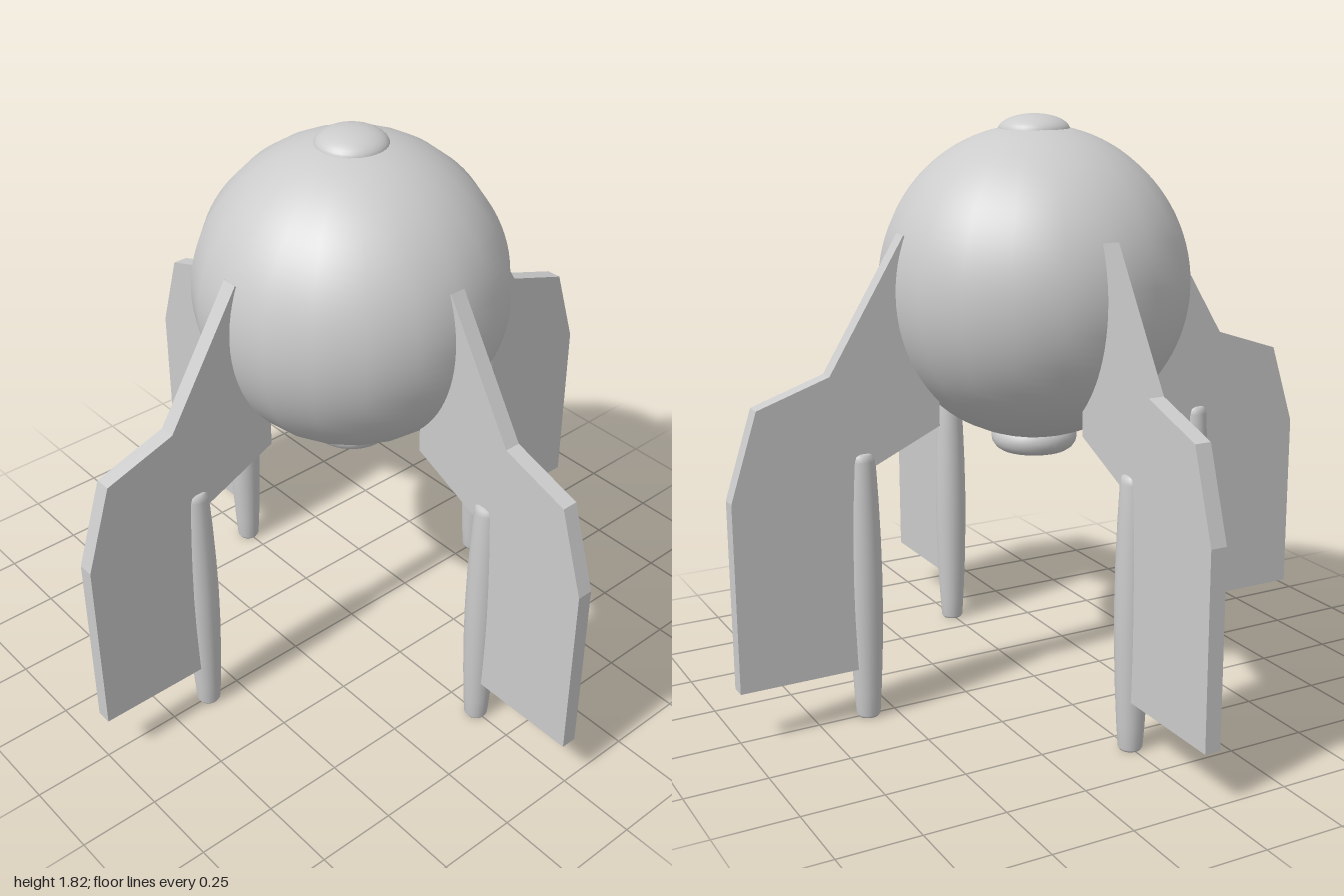
import * as THREE from 'three';

const material = new THREE.MeshStandardMaterial({ color: 0xcccccc });
const points = (list) => list.map(([x, y]) => new THREE.Vector2(x, y));

function add(parent, name, geometry, x = 0, y = 0, z = 0) {
  const mesh = new THREE.Mesh(geometry, material);
  mesh.name = name;
  mesh.position.set(x, y, z);
  parent.add(mesh);
  return mesh;
}

export function createModel() {
  const group = new THREE.Group();
  group.name = 'rocketPod';

  // Round hull with a shallow nose cap
  add(group, 'hull', new THREE.SphereGeometry(0.48, 20, 48), 0, 1.31, 0);
  const cap = new THREE.SphereGeometry(0.11, 32, 10, 0, Math.PI * 2, 0, Math.PI / 2);
  cap.scale(1, 0.45, 1);
  add(group, 'noseCap', cap, 0, 1.771, 0);

  // Ring nozzle under the hull
  const ring = new THREE.TorusGeometry(0.09, 0.045, 16, 32);
  ring.rotateX(Math.PI / 2);
  add(group, 'nozzleRing', ring, 0, 0.825, 0);

  // Flat fin, its root buried in the hull
  const finShape = new THREE.Shape(points([
    [0.34, 0.90], [0.55, 0.805], [0.61, 0.78], [0.61, 0.165], [1, 0.165],
    [1, 0.75], [0.915, 1.015], [0.69, 1.09], [0.448, 1.485], [0.34, 1.4],
  ]));
  const finGeometry = new THREE.ExtrudeGeometry(finShape, { depth: 0.05, bevelEnabled: false });
  finGeometry.translate(0, 0, -0.025);

  // Slim leg with a rounded top and a recessed foot
  const legGeometry = new THREE.LatheGeometry(points([
    [0, 0.04], [0.022, 0.035], [0.026, 0.008], [0.032, 0], [0.037, 0.008],
    [0.042, 0.08], [0.048, 0.2], [0.052, 0.34], [0.053, 0.45], [0.051, 0.58],
    [0.047, 0.7], [0.041, 0.82], [0.037, 0.839], [0.028, 0.845], [0, 0.846],
  ]), 20);

  // Four fins, each with a leg on its inner edge
  const legRadius = [0.612, 0.587, 0.587, 0.612];
  for (let i = 0; i < 4; i++) {
    const arm = new THREE.Group();
    arm.name = 'finAndLeg' + (i + 1);
    arm.rotation.y = i * Math.PI / 2;
    add(arm, 'fin', finGeometry);
    add(arm, 'leg', legGeometry, legRadius[i]);
    group.add(arm);
  }
  return group;
}
